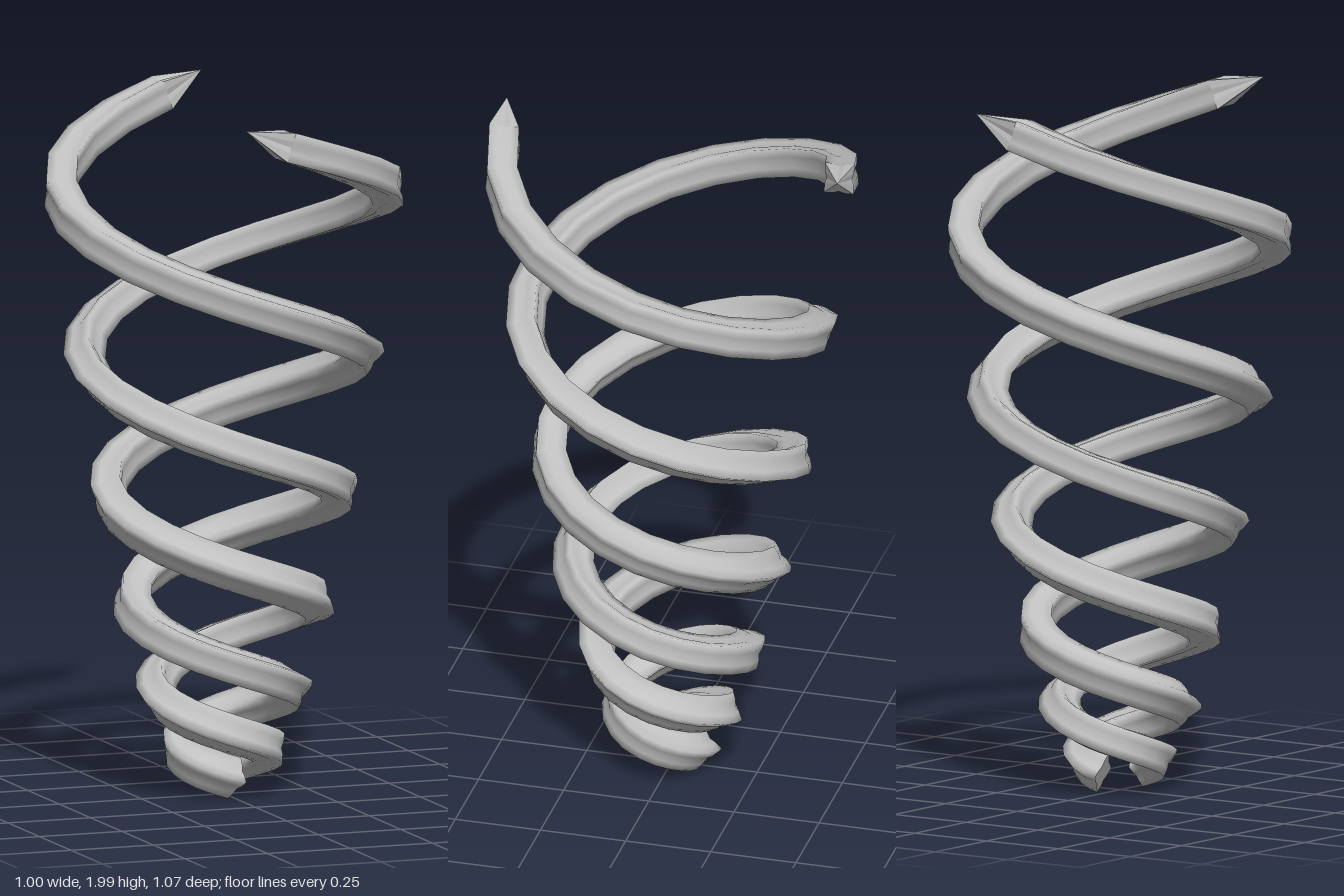
import * as THREE from 'three';

const HALF_TURNS = 6, STEPS = 60;      // three full turns, 18 degrees per step
const RIDGE = 0.061, GROOVE = 0.037;   // star section: ridge and groove radius
const SIDES = 4, PER_SIDE = 4, RING = SIDES * PER_SIDE;
const UP = new THREE.Vector3(0, 1, 0);

// Centre line: a spiral that widens and steepens as it climbs
function centre(u) {
  const a = Math.PI / 2 + u * Math.PI - HALF_TURNS * Math.PI;
  const r = 0.083 + 0.068 * u;
  return new THREE.Vector3(r * Math.cos(a), 0.062 + 0.09 * u + 0.0372 * u * u, r * Math.sin(a));
}

function tangent(u) {
  return centre(u + 0.01).sub(centre(u - 0.01)).normalize();
}

// Star section with a hollow between each two ridges
function sectionPoint(frame, k) {
  const t = (k % PER_SIDE) / PER_SIDE;
  const phi = k / RING * Math.PI * 2;
  const r = GROOVE + (RIDGE - GROOVE) * Math.pow(Math.abs(2 * t - 1), 1.5);
  return frame.p.clone()
    .addScaledVector(frame.n, r * Math.cos(phi))
    .addScaledVector(frame.b, r * Math.sin(phi));
}

// Frames carried along the path; near the tip they turn with the spiral
function makeFrames() {
  const frames = [];
  let n = centre(0).setY(0).normalize();
  for (let i = 0; i <= STEPS; i++) {
    const u = i / STEPS * HALF_TURNS, t = tangent(u);
    n = n.clone();
    if (u > 5.45) n.applyAxisAngle(UP, -Math.PI * HALF_TURNS / STEPS);
    n.addScaledVector(t, -n.dot(t)).normalize();
    frames.push({ p: centre(u), n, b: t.clone().cross(n) });
  }
  return frames;
}

function toGeometry(points, index) {
  const g = new THREE.BufferGeometry().setFromPoints(points);
  if (index) g.setIndex(index);
  g.computeVertexNormals();
  return g;
}

// Smooth sweep of the section through all frames
function coilGeometry(frames) {
  const points = [], index = [];
  frames.forEach((f, i) => {
    for (let k = 0; k < RING; k++) {
      points.push(sectionPoint(f, k));
      if (i === STEPS) continue;
      const a = i * RING + k, b = i * RING + (k + 1) % RING;
      index.push(a, b, a + RING, b, b + RING, a + RING);
    }
  });
  return toGeometry(points, index);
}

// Fan from a section to one point: end cap or pointed tip
function fanGeometry(frame, apex, flip) {
  const points = [];
  for (let k = 0; k < RING; k++) {
    const a = sectionPoint(frame, k), b = sectionPoint(frame, k + 1);
    points.push(...(flip ? [b, a, apex] : [a, b, apex]));
  }
  return toGeometry(points);
}

export function createModel() {
  const model = new THREE.Group();
  model.name = 'doubleSpiral';
  const grey = new THREE.MeshStandardMaterial({ color: 0xc0c0c0 });
  grey.name = 'light grey';

  const frames = makeFrames();
  const parts = {
    coil: coilGeometry(frames),
    tip: fanGeometry(frames[STEPS], new THREE.Vector3(-0.13, 1.995, 0.52), false),
    endCap: fanGeometry(frames[0], frames[0].p, true),
  };

  // Two equal strands, half a turn apart
  ['frontStrand', 'backStrand'].forEach((name, i) => {
    const strand = new THREE.Group();
    strand.name = name;
    strand.rotation.y = i * Math.PI;
    for (const [part, geometry] of Object.entries(parts)) {
      const mesh = new THREE.Mesh(geometry, grey);
      mesh.name = part;
      strand.add(mesh);
    }
    model.add(strand);
  });
  return model;
}
